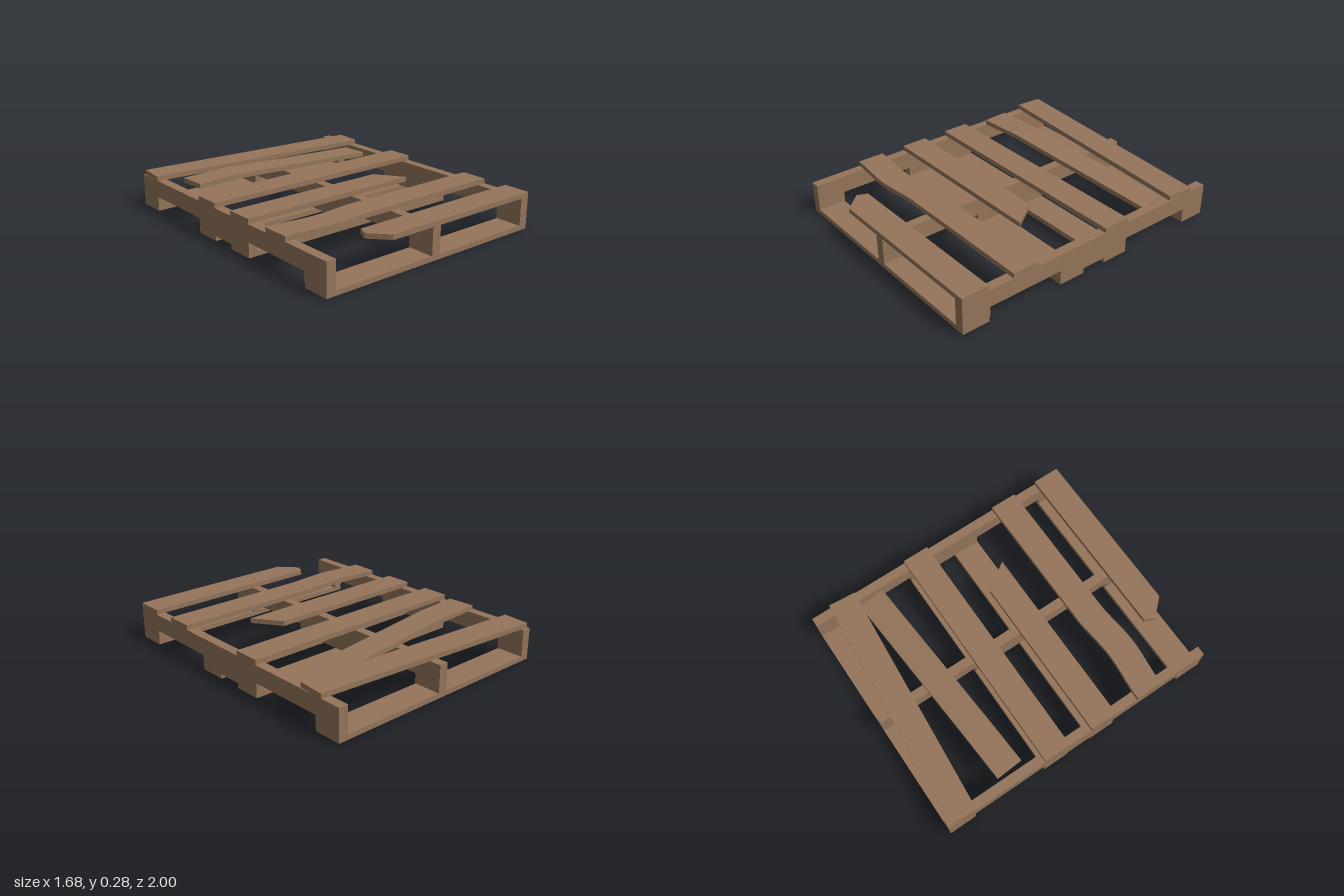
import * as THREE from 'three';

const HALF = 0.835;      // half the pallet width
const BOARD = 0.188;     // board width
const THICK = 0.033;     // board thickness
const DECK = 0.25;       // top of the deck

const wood = new THREE.MeshStandardMaterial({ color: 0x94755a });
wood.name = 'wood';

function extrude(points, depth) {
  const shape = new THREE.Shape(points.map(([a, b]) => new THREE.Vector2(a, b)));
  return new THREE.ExtrudeGeometry(shape, { depth, bevelEnabled: false });
}

function add(group, name, geometry) {
  const mesh = new THREE.Mesh(geometry, wood);
  mesh.name = name;
  group.add(mesh);
  return mesh;
}

// Board cut from an outline in plan, given as [x, z]
function planBoard(outline, top) {
  return extrude(outline, THICK).rotateX(Math.PI / 2).translate(0, top, 0);
}

export function createModel() {
  const pallet = new THREE.Group();
  pallet.name = 'brokenPallet';
  const h = BOARD / 2;

  // Three notched stringers, profile given as [z, y]
  const profile = [
    [-1, THICK], [-0.807, THICK], [-0.807, 0.1], [-0.275, 0.1], [-0.275, THICK],
    [0.275, THICK], [0.275, 0.1], [0.807, 0.1], [0.807, THICK], [1, THICK],
    [1, DECK - THICK], [-1, DECK - THICK],
  ];
  const W = 0.064;
  for (const [name, x] of [['rightStringer', -HALF + W / 2], ['middleStringer', 0], ['leftStringer', HALF - W / 2]]) {
    add(pallet, name, extrude(profile, W).rotateY(-Math.PI / 2).translate(x + W / 2, 0, 0));
  }

  // Bottom boards
  for (const z of [-0.906, -0.181, 0.181, 0.906]) {
    add(pallet, 'bottomBoard', new THREE.BoxGeometry(2 * HALF, THICK, BOARD)).position.set(0, THICK / 2, z);
  }

  // Front deck board, snapped off on one side
  add(pallet, 'snappedFrontBoard', planBoard(
    [[-0.43, 0.812], [HALF, 0.812], [HALF, 1], [-0.35, 1], [-0.46, 0.88]], DECK));

  // Warped deck board: a smooth sideways bulge on one half
  const near = [], far = [];
  for (let i = 0; i <= 16; i++) {
    const t = i / 16;
    const x = -HALF + t * 0.675;
    const z = 0.543 + 0.025 * (0.5 - 0.5 * Math.cos(t * 2 * Math.PI));
    far.push([x, z - h]);
    near.unshift([x, z + h]);
  }
  add(pallet, 'warpedBoard', planBoard([...far, [HALF, 0.543 - h], [HALF, 0.543 + h], ...near], DECK));

  // Deck board broken along a slanted line
  add(pallet, 'brokenMiddleBoard', planBoard(
    [[-HALF, 0.181 - h], [0.325, 0.181 - h], [0.455, 0.181 + h], [-HALF, 0.181 + h]], DECK));

  // Intact deck board
  add(pallet, 'deckBoard', new THREE.BoxGeometry(2 * HALF, THICK, BOARD)).position.set(0, DECK - THICK / 2, -0.181);

  // Rear deck board, knocked askew
  const askew = add(pallet, 'askewRearBoard', new THREE.BoxGeometry(2 * HALF, THICK, BOARD));
  askew.position.set(0, DECK - THICK / 2, -0.828);
  askew.rotation.y = -0.075;

  // Loose board, bent and sagging between the stringers
  const loose = add(pallet, 'looseBoard', extrude([
    [-0.752, 0.245], [-0.42, 0.245], [0.75, 0.168],
    [0.75, 0.2], [-0.42, 0.277], [-0.752, 0.277],
  ], BOARD - 0.002).translate(0, 0, -h));
  loose.position.z = -0.542;
  loose.rotation.y = 0.066;

  return pallet;
}
